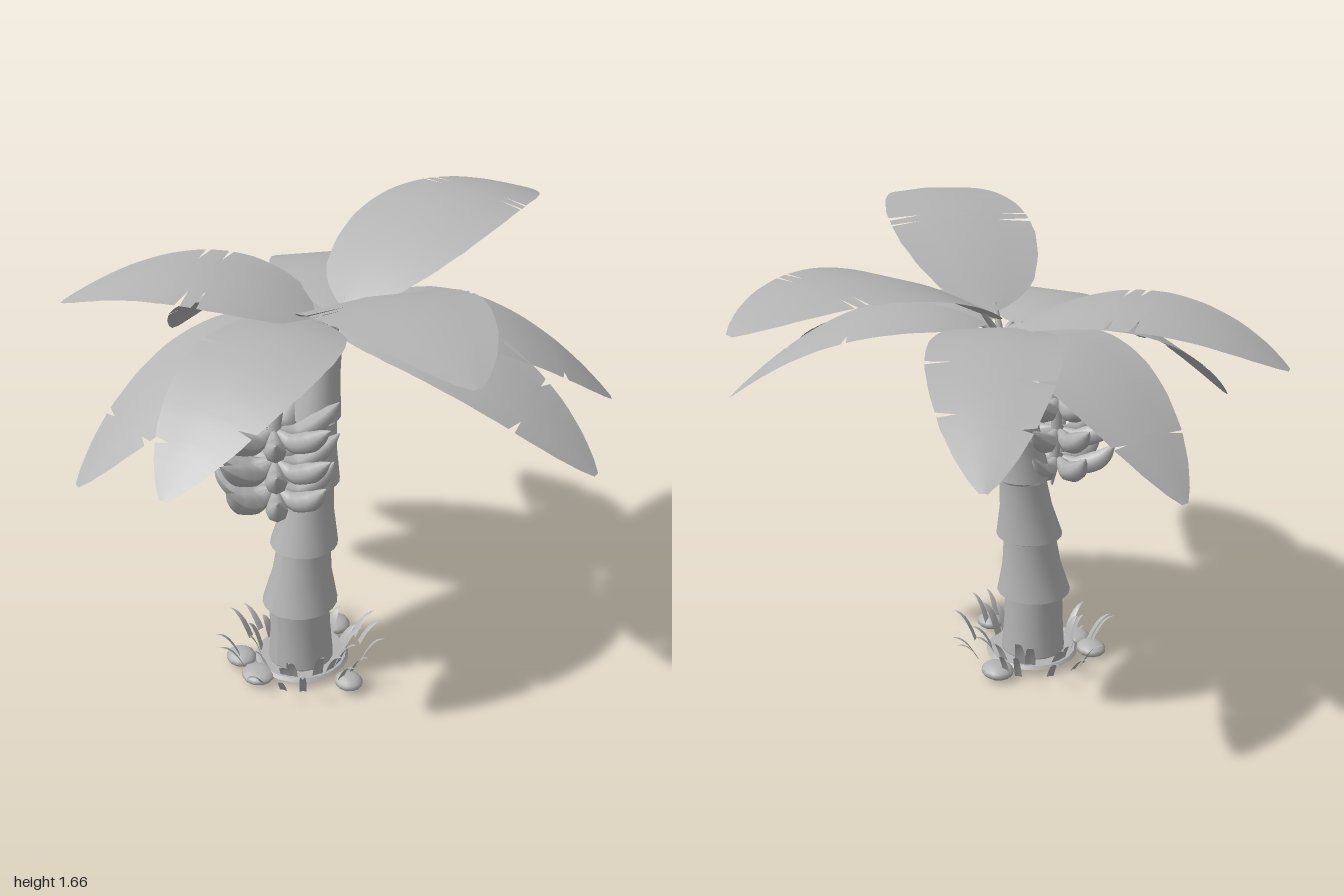
import * as THREE from 'three';

const CX = -0.045; // trunk axis in x

// Interpolates a list of [t, value] pairs
function ramp(pairs, t) {
  for (let i = 1; i < pairs.length; i++) {
    const [a, va] = pairs[i - 1], [b, vb] = pairs[i];
    if (t <= b) return va + (vb - va) * (t - a) / (b - a);
  }
  return pairs[pairs.length - 1][1];
}

// Blade swept outwards from a base point; notches are [t, side, depth]
function bladeGeometry(x, z, dx, dz, heightAt, widthAt, fold, steps, notches = []) {
  const len = Math.hypot(dx, dz), px = -dz / len, pz = dx / len;
  const rows = [];
  for (let i = 0; i <= steps; i++) {
    const t = i / steps;
    if (!notches.some(n => Math.abs(n[0] - t) < 0.014)) rows.push([t, 1, 1]);
  }
  for (const [t, side, depth] of notches) {
    rows.push([t - 0.01, 1, 1], [t + 0.01, 1, 1]);
    rows.push([t, side < 0 ? 1 - depth : 1, side > 0 ? 1 - depth : 1]);
  }
  rows.sort((a, b) => a[0] - b[0]);
  const pos = [], index = [], across = [-1, -0.5, 0, 0.5, 1];
  rows.forEach(([t, left, right], i) => {
    across.forEach((s, j) => {
      const w = widthAt(t) * s * (s < 0 ? left : right);
      pos.push(x + dx * t + px * w, heightAt(t) - fold * Math.abs(w), z + dz * t + pz * w);
      if (i && j) {
        const d = i * 5 + j, c = d - 1, b = d - 5, a = d - 6;
        index.push(a, b, c, b, d, c);
      }
    });
  });
  const g = new THREE.BufferGeometry();
  g.setAttribute('position', new THREE.Float32BufferAttribute(pos, 3));
  g.setIndex(index);
  g.computeVertexNormals();
  return g;
}

// Tube whose radius follows a rule along the curve
function taperedTube(points, steps, sides, radiusAt) {
  const curve = new THREE.CatmullRomCurve3(points.map(p => new THREE.Vector3(...p)));
  const g = new THREE.TubeGeometry(curve, steps, 1, sides);
  const p = g.attributes.position, v = new THREE.Vector3();
  for (let i = 0; i < p.count; i++) {
    const t = Math.floor(i / (sides + 1)) / steps, c = curve.getPointAt(t);
    v.fromBufferAttribute(p, i).sub(c).multiplyScalar(radiusAt(t)).add(c);
    p.setXYZ(i, v.x, v.y, v.z);
  }
  g.computeVertexNormals();
  return g;
}

export function createModel() {
  const model = new THREE.Group();
  const grey = new THREE.MeshStandardMaterial({ color: 0xb3b3b3, side: THREE.DoubleSide });
  grey.name = 'plain grey';
  const add = (name, geometry, parent = model) => {
    const m = new THREE.Mesh(geometry, grey);
    m.name = name;
    parent.add(m);
    return m;
  };
  const group = name => {
    const g = new THREE.Group();
    g.name = name;
    model.add(g);
    return g;
  };

  // Trunk: flared segments stacked along a forward-offset, leaning axis
  const trunk = group('trunk');
  const lean = [[0, 0.25], [0.27, 0.25], [0.51, 0.225], [0.75, 0.188], [1, 0.157], [1.28, 0.11]];
  const segments = [ // bottom y, top y, flare radius, neck radius
    [0.03, 0.27, 0.12, 0.108], [0.27, 0.51, 0.138, 0.097], [0.51, 0.755, 0.123, 0.085],
    [0.755, 1, 0.104, 0.074], [1, 1.28, 0.087, 0.06]];
  segments.forEach(([y0, y1, flare, neck], i) => {
    const mid = neck + (flare - neck) * 0.3;
    const walls = [[flare, y0 + 0.015], [mid, y0 + (y1 - y0) * 0.55], [neck, y1]];
    const shapes = [walls, [[0, y0], [i ? neck : flare, y0], [flare, y0 + 0.015]]];
    if (i === 4) shapes.push([[neck, y1], [0, y1 + 0.02]]);
    shapes.forEach((pts, k) => {
      const g = new THREE.LatheGeometry(pts.map(p => new THREE.Vector2(...p)), 20);
      const p = g.attributes.position;
      for (let n = 0; n < p.count; n++) p.setZ(n, p.getZ(n) + ramp(lean, p.getY(n)));
      g.translate(CX, 0, 0);
      g.computeVertexNormals();
      add(['trunkSegment', 'segmentUnderside', 'trunkCap'][k], g, trunk);
    });
  });

  // Fronds: tip x, y, z, half width, arch height, notches
  const crown = group('crown');
  const outline = [[0, 0.06], [0.05, 0.46], [0.1, 0.66], [0.2, 0.86], [0.32, 0.98], [0.42, 1],
    [0.52, 0.98], [0.66, 0.86], [0.8, 0.66], [0.9, 0.43], [0.97, 0.2], [1, 0.06]];
  const fronds = [
    [-0.09, 1.54, -1, 0.267, 0.155, [[0.65, 1, 0.45], [0.69, 1, 0.45], [0.65, -1, 0.45], [0.69, -1, 0.45]]],
    [0.965, 1.6, 0.47, 0.26, 0.15, [[0.43, -1, 0.45], [0.47, -1, 0.45], [0.4, 1, 0.5], [0.44, 1, 0.4]]],
    [0.93, 1.06, -0.16, 0.22, 0.14, [[0.44, -1, 0.5], [0.72, -1, 0.3], [0.76, 1, 0.4]]],
    [0.63, 1.06, -0.62, 0.23, 0.15, [[0.8, 1, 0.3], [0.5, -1, 0.3]]],
    [-0.74, 1.13, -0.55, 0.22, 0.15, [[0.75, 1, 0.4], [0.5, 1, 0.4], [0.8, -1, 0.3], [0.6, -1, 0.4]]],
    [-0.97, 1.01, 0.06, 0.22, 0.15, [[0.8, 1, 0.4], [0.8, -1, 0.4]]],
    [-0.89, 1.31, 0.6, 0.25, 0.14, [[0.41, 1, 0.4], [0.5, 1, 0.45], [0.37, -1, 0.5], [0.43, -1, 0.45]]],
    [-0.28, 0.97, 0.99, 0.22, 0.15, [[0.8, 1, 0.4], [0.78, -1, 0.3]]],
    [0.15, 1.09, 0.96, 0.24, 0.14, [[0.4, 1, 0.4], [0.84, 1, 0.4], [0.73, -1, 0.35]]]];
  for (const [tx, ty, tz, half, arch, notches] of fronds) {
    const ox = tx - CX, oz = tz - 0.08, len = Math.hypot(ox, oz);
    const bx = CX + ox / len * 0.05, bz = 0.08 + oz / len * 0.05;
    const y0 = ty > 1.4 ? 1.395 : 1.36;
    const yAt = t => y0 + (ty - y0) * t + 4 * arch * t * (1 - t);
    add('frond', bladeGeometry(bx, bz, tx - bx, tz - bz, yAt,
      t => half * ramp(outline, t), 0.07, 28, notches), crown);
    add('frondStem', taperedTube([[CX + ox / len * 0.02, 1.26, 0.1 + oz / len * 0.02],
      [CX + ox / len * 0.025, 1.33, 0.085 + oz / len * 0.025],
      [bx + ox / len * 0.03, yAt(0.03) - 0.006, bz + oz / len * 0.03]],
    6, 6, t => 0.014 - 0.005 * t), crown);
  }

  // Fruit bunch hanging from an arched stalk
  const fruit = group('fruitBunch');
  add('fruitStalk', taperedTube([[CX, 1.22, 0.12], [CX, 1.27, 0.19], [CX, 1.22, 0.28], [CX, 1.08, 0.335],
    [CX, 0.9, 0.345], [CX, 0.76, 0.335], [CX, 0.69, 0.33]], 28, 8,
  t => 0.024 - 0.006 * t + (t > 0.9 ? -0.14 * (t - 0.9) : 0)), fruit);
  const fruitRadius = [[0, 0.012], [0.12, 0.024], [0.35, 0.038], [0.6, 0.038], [0.82, 0.024], [0.95, 0.008], [1, 0.002]];
  for (const y of [1.015, 0.895, 0.785]) {
    const reach = y < 0.8 ? 0.215 : 0.235;
    const g = taperedTube([[0, 0.01, 0.02], [0, -0.012, 0.08], [0, 0.018, 0.16], [0, 0.08, reach]],
      12, 8, t => ramp(fruitRadius, t));
    for (let i = 0; i < 7; i++) {
      const m = add('fruit', g, fruit);
      m.position.set(CX, y, 0.35);
      m.rotation.y = i * Math.PI * 2 / 7;
    }
  }

  // Ground disc, curling grass and pebbles
  const ground = group('groundTuft');
  add('groundDisc', new THREE.CylinderGeometry(0.165, 0.175, 0.012, 20), ground).position.set(CX, 0.034, 0.245);
  for (let i = 0; i < 30; i++) {
    const a = i * Math.PI * 2 / 30 + 0.13 * Math.sin(i * 5), outer = i % 2;
    const r = outer ? 0.225 : 0.15, len = outer ? 0.09 : 0.07 + 0.02 * Math.sin(i * 3);
    const h = 0.1 + 0.025 * Math.sin(i * 7), c = Math.cos(a), s = Math.sin(a);
    add('grassBlade', bladeGeometry(CX + c * r, 0.245 + s * r, c * len, s * len,
      t => 0.03 + h * (1 - (1 - t) ** 2.2), t => (outer ? 0.013 : 0.02) * (1 - t * t) + 0.0005, 0.2, 6), ground);
  }
  const pebbles = [[0.205, 0.04, 0.24, 0.055, 0.027], [-0.1, 0.032, 0.03, 0.065, 0.03],
    [-0.19, 0.03, 0.42, 0.06, 0.028], [-0.07, 0.025, 0.44, 0.065, 0.025]];
  for (const [x, y, z, r, h] of pebbles) {
    const m = add('pebble', new THREE.SphereGeometry(1, 12, 8), ground);
    m.position.set(x, y, z);
    m.scale.set(r, h, r * 0.9);
  }
  return model;
}
